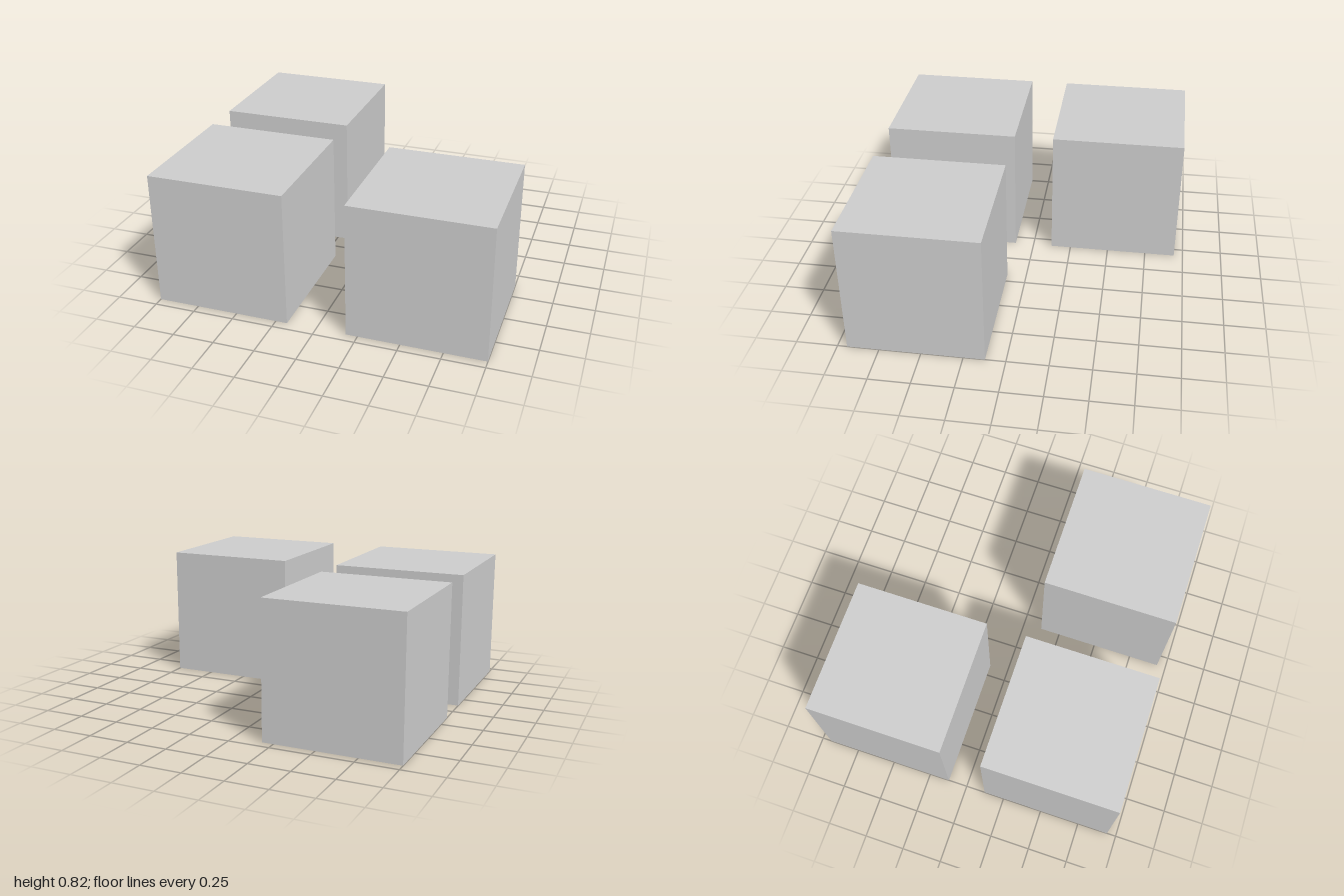
import * as THREE from 'three';

export function createModel() {
  const group = new THREE.Group();
  const material = new THREE.MeshStandardMaterial({ color: 0xcccccc, flatShading: true });
  const size = 0.82;
  const geometry = new THREE.BoxGeometry(size, size, size);

  // Three equal cubes in an L, with the back left-hand corner (+x, -z) empty
  const cubes = [
    ['backRightCube', -0.59, -0.532],
    ['frontRightCube', -0.59, 0.532],
    ['frontLeftCube', 0.59, 0.532],
  ];
  for (const [name, x, z] of cubes) {
    const cube = new THREE.Mesh(geometry, material);
    cube.name = name;
    cube.position.set(x, size / 2, z);
    group.add(cube);
  }
  return group;
}
